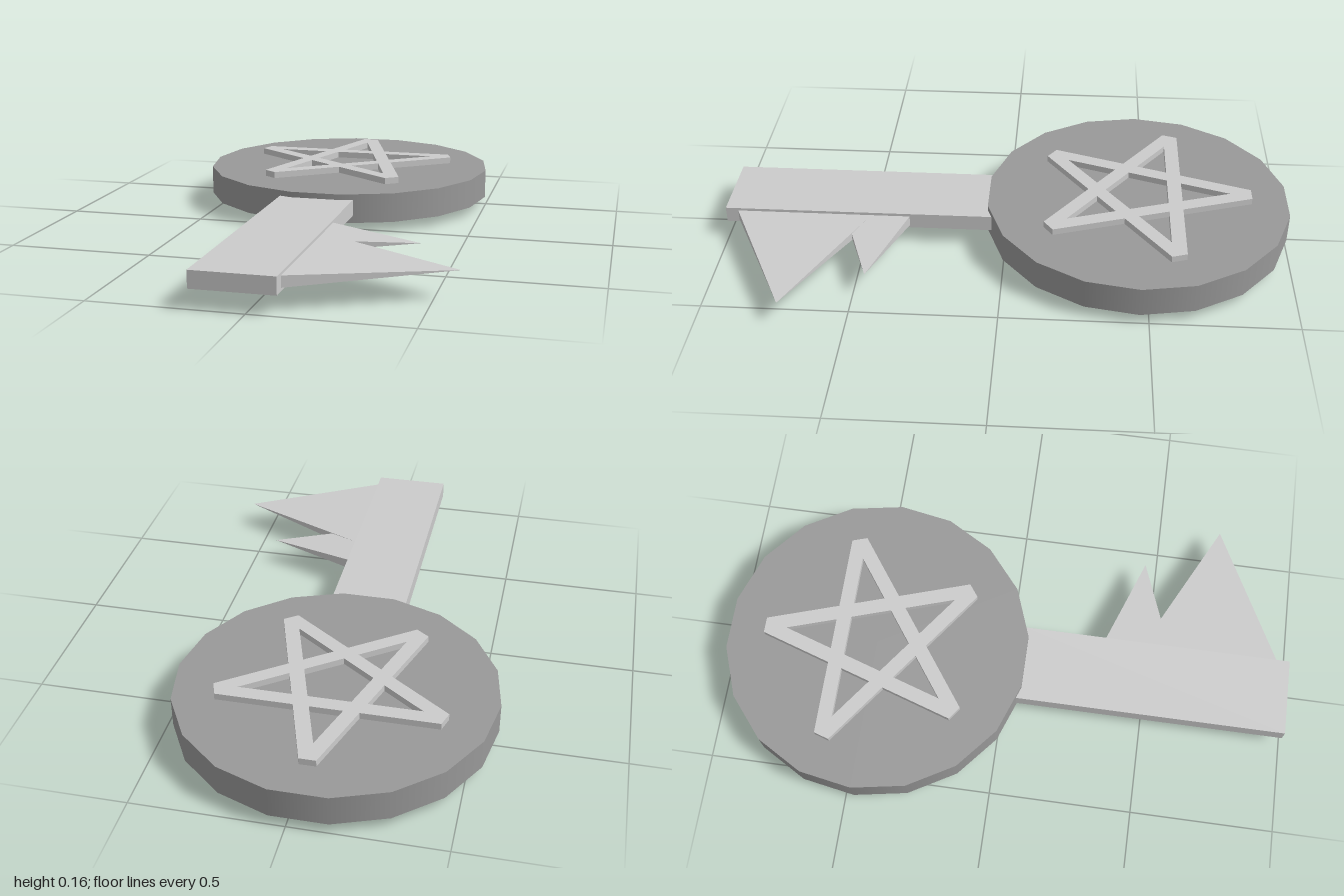
import * as THREE from 'three';

const rad = THREE.MathUtils.degToRad;

export function createModel() {
  const model = new THREE.Group();
  const light = new THREE.MeshStandardMaterial({ color: 0xcccccc, flatShading: true });
  const dark = new THREE.MeshStandardMaterial({ color: 0x999999 });

  const add = (name, geometry, material, x, y, z) => {
    const mesh = new THREE.Mesh(geometry, material);
    mesh.name = name;
    mesh.position.set(x, y, z);
    model.add(mesh);
    return mesh;
  };

  // Round key head, 18 sides with a smooth rim
  const disc = new THREE.CylinderGeometry(0.54, 0.54, 0.105, 18);
  disc.rotateY(rad(10));
  add('headDisc', disc, dark, -0.04, 0.0875, -0.4675);

  // Star of five crossing bars, standing proud of both faces of the head
  add('star', starGeometry(0.149, 0.099, 0.397, 0.163), light, -0.04, 0, -0.475);

  // Flat shaft
  add('shaft', new THREE.BoxGeometry(0.27, 0.057, 0.955), light, -0.04, 0.0915, 0.5225);

  // Teeth: pyramids lying on their side, pointing to +x
  const tooth = (name, zMin, zMax, length) => {
    const g = new THREE.ConeGeometry(Math.SQRT1_2, 1, 4);
    g.rotateY(rad(45));
    g.rotateZ(rad(-90));
    g.scale(length, 0.037, zMax - zMin);
    add(name, g, light, 0.095 + length / 2, 0.0915, (zMin + zMax) / 2);
  };
  tooth('smallTooth', 0.34, 0.568, 0.317);
  tooth('largeTooth', 0.477, 0.956, 0.483);

  return model;
}

// outer, inner: distance of the bar edges from the centre; tip: radius of the blunt tips
function starGeometry(outer, inner, tip, depth) {
  const tan18 = Math.tan(rad(18)), cos72 = Math.cos(rad(72)), cos36 = Math.cos(rad(36));
  const polar = (r, deg) => new THREE.Vector2(r * Math.cos(rad(deg)), r * Math.sin(rad(deg)));
  const turn = (x, y, deg) => new THREE.Vector2(x, y).rotateAround(new THREE.Vector2(), rad(deg));

  const outline = [], core = [], holes = [];
  const tipHalf = (outer / cos72 - tip) * tan18;
  const apex = inner / cos72;
  const baseHalf = (apex - outer) * tan18;
  for (let i = 0; i < 5; i++) {
    const a = i * 72;
    outline.push(turn(tipHalf, tip, a), turn(-tipHalf, tip, a), polar(outer / cos36, 126 + a));
    core.push(polar(inner / cos36, 126 + a));
    holes.push(new THREE.Path([turn(0, apex, a), turn(-baseHalf, outer, a), turn(baseHalf, outer, a)]));
  }
  const shape = new THREE.Shape(outline);
  shape.holes.push(new THREE.Path(core), ...holes);
  const g = new THREE.ExtrudeGeometry(shape, { depth, bevelEnabled: false });
  g.rotateX(rad(-90));
  return g;
}
